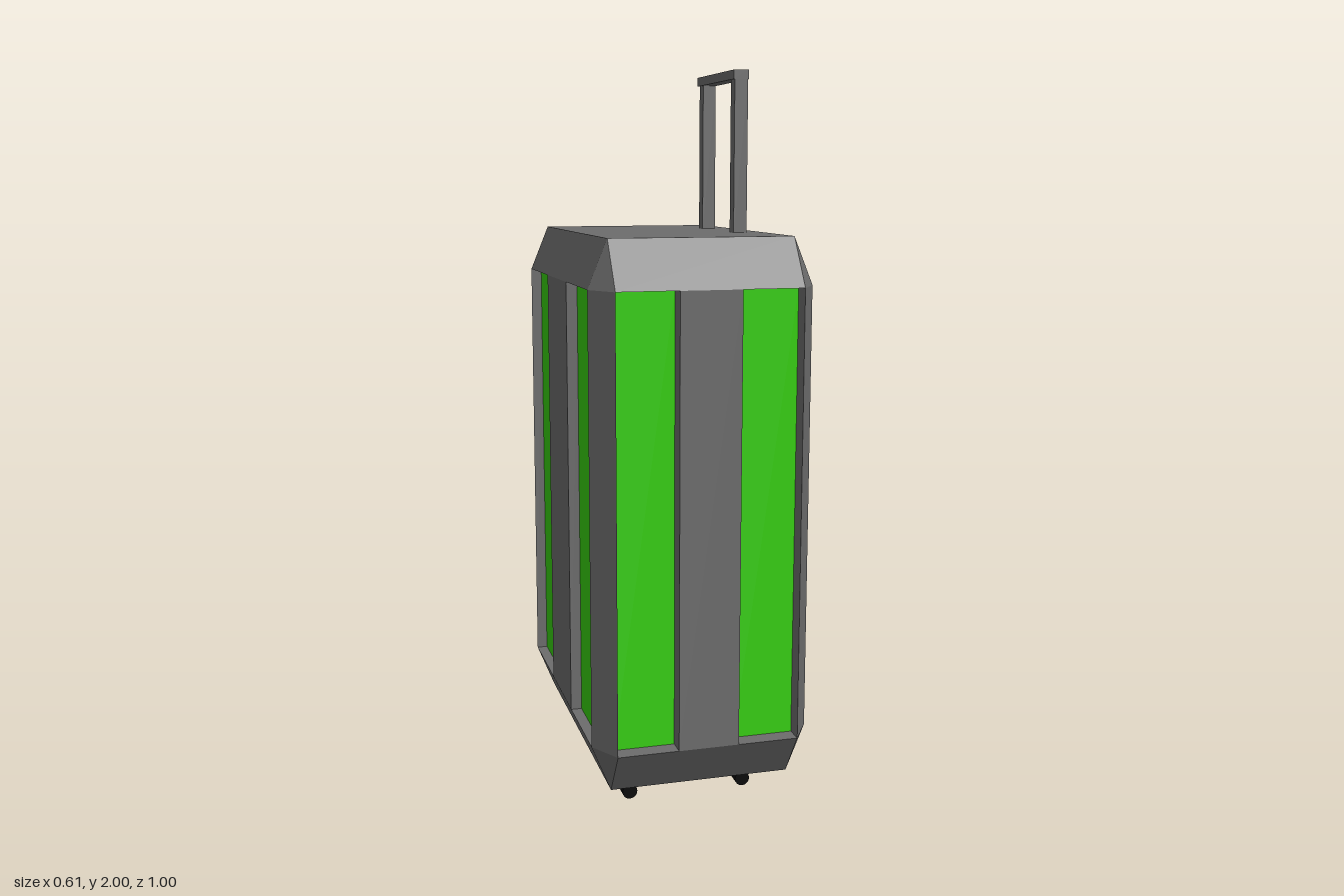
import * as THREE from 'three';

const grey = new THREE.MeshStandardMaterial({ name: 'grey shell', color: 0x6c6c6c });
const green = new THREE.MeshStandardMaterial({ name: 'green panel', color: 0x36cf10 });
const black = new THREE.MeshStandardMaterial({ name: 'black wheel', color: 0x0a0a0a });

const HALF = [0.305, 0.745, 0.5]; // half sizes of the case
const CENTRE_Y = 0.815;
const K = 0.826; // flat part of each face, as a fraction of the half size
const FLOOR = 0.9; // level of the recessed panels, same units
const SIGNS = [-1, 1];

// Adds a convex polygon to a triangle list, turned to face the direction "out"
function addFace(list, corners, out) {
  const p = corners.map((c) => new THREE.Vector3(...c));
  const n = p[1].clone().sub(p[0]).cross(p[2].clone().sub(p[0]));
  if (n.dot(new THREE.Vector3(...out)) < 0) p.reverse();
  for (let i = 1; i < p.length - 1; i++) {
    for (const v of [p[0], p[i], p[i + 1]]) list.push(v.x, v.y, v.z);
  }
}

// Unit-cube faces scaled to the case, with flat normals
function faceMesh(name, list, material) {
  const g = new THREE.BufferGeometry();
  g.setAttribute('position', new THREE.Float32BufferAttribute(list, 3));
  g.scale(...HALF);
  g.translate(0, CENTRE_Y, 0);
  g.computeVertexNormals();
  const mesh = new THREE.Mesh(g, material);
  mesh.name = name;
  return mesh;
}

function point(a, va, b, vb, c, vc) {
  const p = [0, 0, 0];
  p[a] = va; p[b] = vb; p[c] = vc;
  return p;
}

function buildCase() {
  const shell = [], panels = [];

  // Bevelled edges
  for (let c = 0; c < 3; c++) {
    const a = (c + 1) % 3, b = (c + 2) % 3;
    for (const s of SIGNS) for (const t of SIGNS) {
      addFace(shell, [
        point(a, s, b, t * K, c, -K), point(a, s, b, t * K, c, K),
        point(a, s * K, b, t, c, K), point(a, s * K, b, t, c, -K),
      ], point(a, s, b, t, c, 0));
    }
  }

  // Bevelled corners
  for (const x of SIGNS) for (const y of SIGNS) for (const z of SIGNS) {
    addFace(shell, [[x, y * K, z * K], [x * K, y, z * K], [x * K, y * K, z]], [x, y, z]);
  }

  // Rectangle on a face: axis a at depth d, u range and v range on the others
  const rect = (list, a, d, u, u0, u1, v, v0, v1, s) => addFace(list, [
    point(a, d, u, u0, v, v0), point(a, d, u, u1, v, v0),
    point(a, d, u, u1, v, v1), point(a, d, u, u0, v, v1),
  ], point(a, s, u, 0, v, 0));

  // Plain faces: top, bottom and one broad side
  rect(shell, 1, 1, 0, -K, K, 2, -K, K, 1);
  rect(shell, 1, -1, 0, -K, K, 2, -K, K, -1);
  rect(shell, 0, 1, 1, -K, K, 2, -K, K, 1);

  // Front, back and the other broad side: two sunken panels beside a rib
  for (const [a, s, u] of [[2, 1, 0], [2, -1, 0], [0, -1, 2]]) {
    rect(shell, a, s, u, -K / 3, K / 3, 1, -K, K, s);
    for (const t of SIGNS) {
      const inner = t * K / 3, outer = t * K, f = s * FLOOR;
      rect(panels, a, f, u, inner, outer, 1, -K, K, s);
      rect(shell, u, inner, a, f, s, 1, -K, K, t);
      rect(shell, u, outer, a, f, s, 1, -K, K, -t);
      for (const h of SIGNS) rect(shell, 1, h * K, u, inner, outer, a, f, s, -h);
    }
  }

  const group = new THREE.Group();
  group.name = 'case';
  group.add(faceMesh('shell', shell, grey), faceMesh('recessedPanels', panels, green));
  return group;
}

// Box given by its lowest and highest corners
function box(name, lo, hi, material) {
  const mesh = new THREE.Mesh(
    new THREE.BoxGeometry(hi[0] - lo[0], hi[1] - lo[1], hi[2] - lo[2]), material);
  mesh.position.set((lo[0] + hi[0]) / 2, (lo[1] + hi[1]) / 2, (lo[2] + hi[2]) / 2);
  mesh.name = name;
  return mesh;
}

function buildHandle() {
  const group = new THREE.Group();
  group.name = 'handle';
  group.add(
    box('frontPost', [0.164, 1.55, 0.132], [0.202, 1.976, 0.167], grey),
    box('backPost', [0.164, 1.55, -0.166], [0.202, 1.976, -0.13], grey),
    box('grip', [0.161, 1.975, -0.178], [0.204, 2, 0.168], grey));
  return group;
}

function buildCaster(x, z) {
  const group = new THREE.Group();
  group.name = 'caster';
  const wheel = new THREE.Mesh(new THREE.CylinderGeometry(0.021, 0.021, 0.038, 16), black);
  wheel.name = 'wheel';
  wheel.rotation.x = Math.PI / 2;
  wheel.position.y = 0.024;
  group.add(wheel, box('stem', [-0.009, 0.03, -0.015], [0.009, 0.075, 0.015], black));
  group.position.set(x, 0, z);
  return group;
}

export function createModel() {
  const model = new THREE.Group();
  model.name = 'suitcase';
  model.add(buildCase(), buildHandle());
  for (const x of [-0.181, 0.148]) for (const z of [-0.329, 0.322]) model.add(buildCaster(x, z));
  return model;
}
